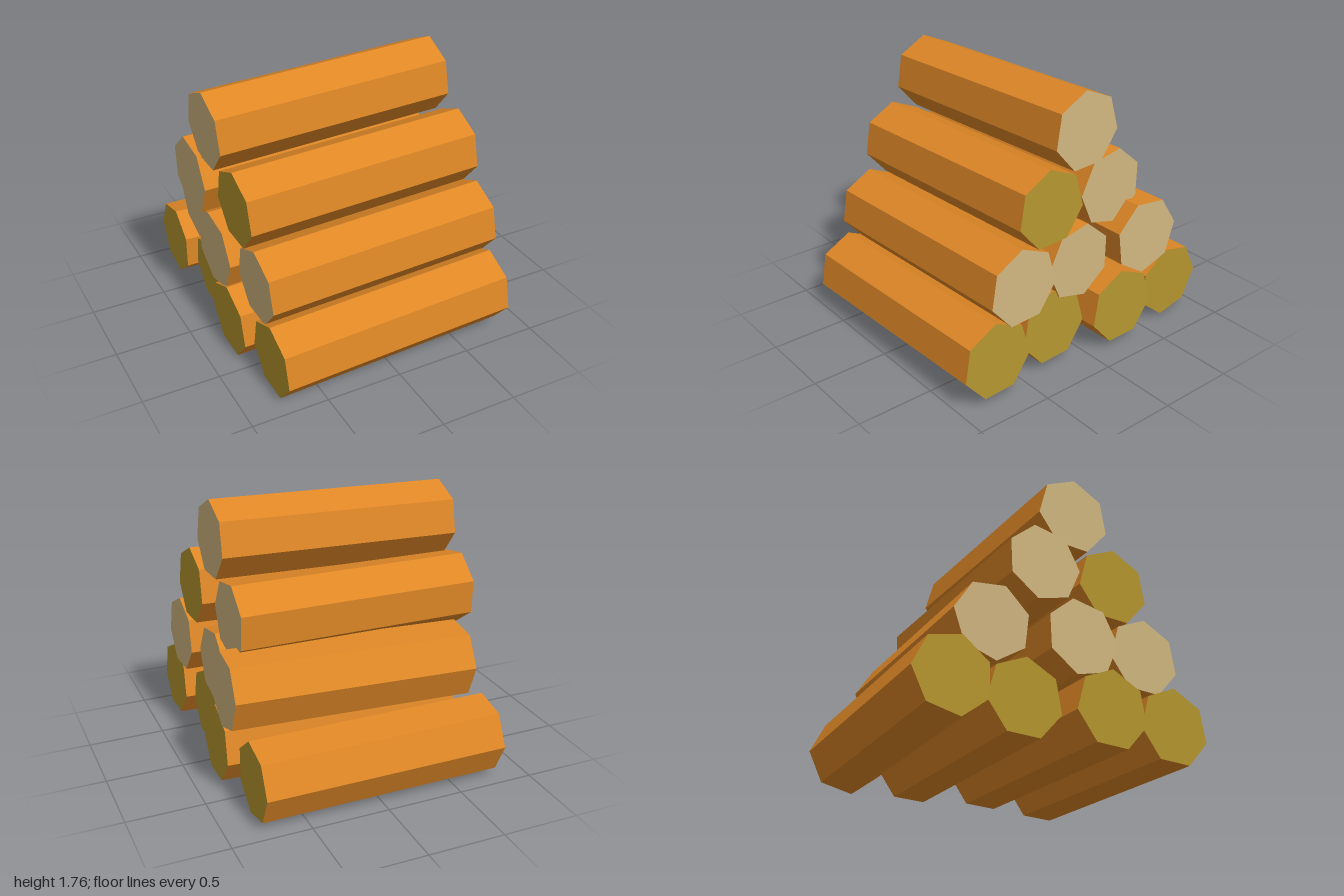
import * as THREE from 'three';

const LENGTH = 1.58;
const RADIUS = 0.248;

export function createModel() {
  const group = new THREE.Group();
  group.name = 'logPile';

  const material = (name, color) => {
    const m = new THREE.MeshStandardMaterial({ color, flatShading: true });
    m.name = name;
    return m;
  };
  const bark = material('bark', 0xde8726);
  const paleCut = material('paleCut', 0xd0b680);
  const oliveCut = material('oliveCut', 0xb4952e);

  // Seven-sided log lying along x, one corner pointing up
  const geometry = new THREE.CylinderGeometry(RADIUS, RADIUS, LENGTH, 7);
  geometry.rotateZ(-Math.PI / 2);
  geometry.rotateX(-Math.PI / 2);

  // Log: centre x, y, z; rise and drift of the +x end along the log; roll in degrees; cut colour
  const logs = [
    // bottom row, front to back
    ['bottomLog1', 0.03, 0.253, 0.744, 0.05, -0.02, 2, oliveCut],
    ['bottomLog2', -0.035, 0.253, 0.253, 0.05, -0.02, 2, oliveCut],
    ['bottomLog3', 0.055, 0.253, -0.26, 0.05, 0.015, 2, oliveCut],
    ['bottomLog4', -0.01, 0.249, -0.753, 0, 0, 12.86, oliveCut],
    // second row
    ['secondRowLog1', 0.03, 0.67, 0.547, 0.05, -0.02, 2, paleCut],
    ['secondRowLog2', -0.035, 0.65, 0.06, 0.02, -0.03, -15, paleCut],
    ['secondRowLog3', 0.053, 0.685, -0.461, 0.05, 0.035, 19, paleCut],
    // third row
    ['thirdRowLog1', 0.007, 1.093, 0.324, 0.05, -0.02, 2, oliveCut],
    ['thirdRowLog2', -0.065, 1.06, -0.214, 0.02, -0.03, -15, paleCut],
    // top
    ['topLog', -0.04, 1.486, 0.02, 0.05, -0.02, 2, paleCut],
  ];

  for (const [name, x, y, z, rise, drift, roll, cut] of logs) {
    const log = new THREE.Mesh(geometry, [bark, cut, cut]);
    log.name = name;
    log.position.set(x, y, z);
    log.rotation.set(
      THREE.MathUtils.degToRad(roll),
      -Math.asin(drift / LENGTH),
      Math.asin(rise / LENGTH),
      'YZX'
    );
    group.add(log);
  }
  return group;
}
